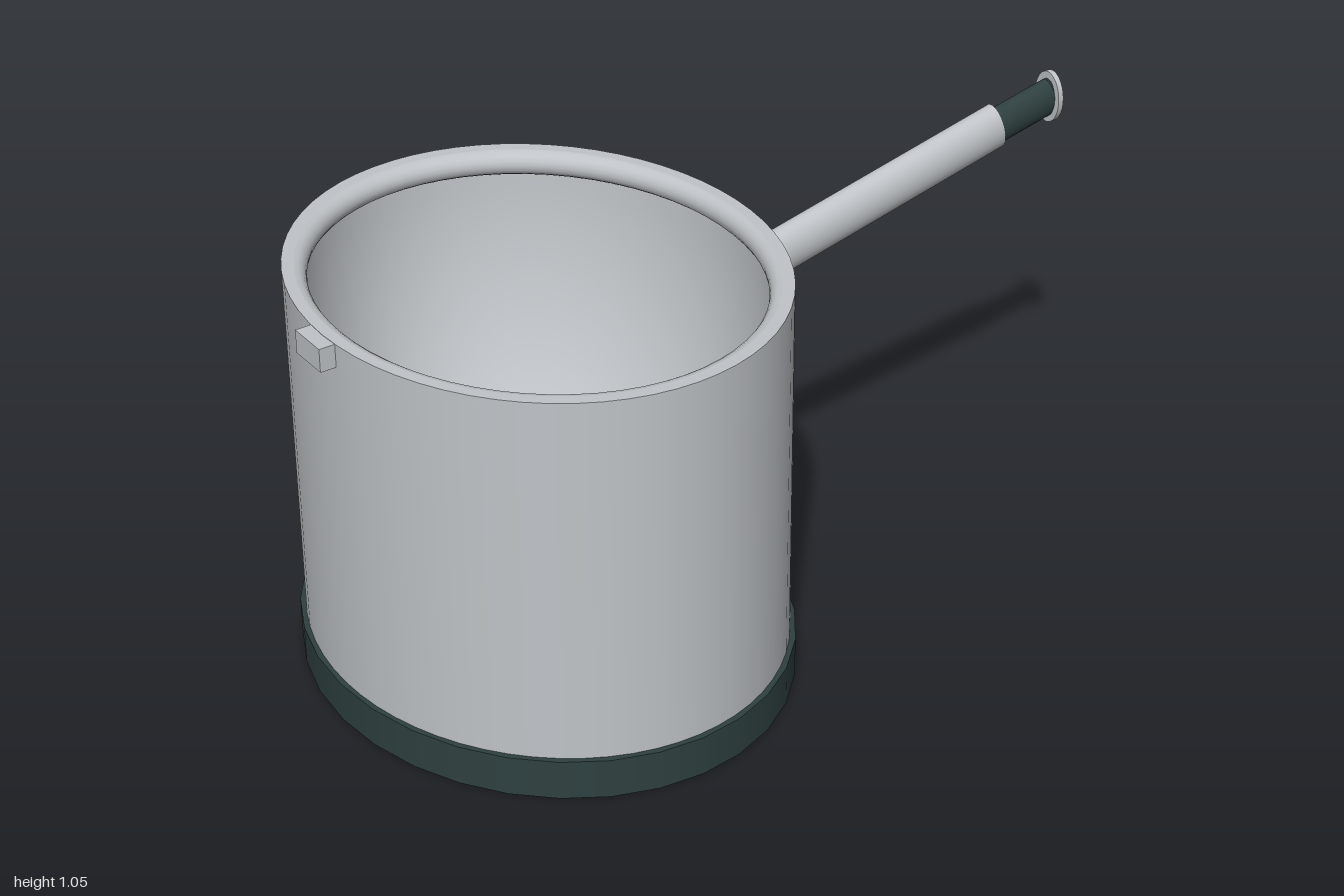
import * as THREE from 'three';

const CX = -0.44;            // pot axis
const SQUASH = 0.868;        // pot is narrower in x than in z

export function createModel() {
  const model = new THREE.Group();
  const steel = new THREE.MeshStandardMaterial({ color: 0xc0c4c8 });
  steel.name = 'brushed steel';
  const dark = new THREE.MeshStandardMaterial({ color: 0x2f4040 });
  dark.name = 'dark green plastic';

  const add = (name, geometry, material, parent = model) => {
    const mesh = new THREE.Mesh(geometry, material);
    mesh.name = name;
    parent.add(mesh);
    return mesh;
  };
  const lathe = (points, segments) =>
    new THREE.LatheGeometry(points.map(([r, y]) => new THREE.Vector2(r, y)), segments);

  // Oval pot: each profile piece is separate so its edges stay sharp
  const pot = new THREE.Group();
  pot.name = 'pot';
  pot.position.x = CX;
  pot.scale.x = SQUASH;
  model.add(pot);

  add('outerWall', lathe([[0.605, 0.09], [0.605, 0.98]], 64), steel, pot);
  add('rimTop', lathe([[0.605, 0.98], [0.575, 0.98]], 64), steel, pot);

  // Rounded inner lip
  const lip = [];
  for (let i = 0; i <= 8; i++) {
    const a = Math.PI / 2 + (i / 8) * Math.PI;
    lip.push([0.575 + 0.03 * Math.cos(a), 0.95 + 0.03 * Math.sin(a)]);
  }
  add('innerLip', lathe(lip, 64), steel, pot);

  // Deep bowl inside
  const bowl = [];
  for (let i = 0; i <= 20; i++) {
    const a = (i / 20) * Math.PI / 2;
    bowl.push([0.575 * Math.cos(a), 0.94 - 0.82 * Math.sin(a)]);
  }
  add('innerBowl', lathe(bowl, 64), steel, pot);

  // Base band and the heating plate under it
  add('base', new THREE.CylinderGeometry(0.62, 0.62, 0.096, 32), dark, pot).position.y = 0.052;
  add('bottomPlate', new THREE.CylinderGeometry(0.365, 0.365, 0.008, 32), steel, pot).position.y = 0.004;

  // Small lug at the rim opposite the handle
  add('rimLug', new THREE.BoxGeometry(0.056, 0.055, 0.1), steel).position.set(-0.972, 0.9515, 0);

  // Oval rod between two points in the x-y plane
  const rod = (name, material, [x0, y0], [x1, y1], ry, rz) => {
    const geometry = new THREE.CylinderGeometry(1, 1, Math.hypot(x1 - x0, y1 - y0), 32);
    geometry.rotateZ(-Math.PI / 2).scale(1, ry, rz);
    const mesh = add(name, geometry, material);
    mesh.position.set((x0 + x1) / 2, (y0 + y1) / 2, 0);
    mesh.rotation.z = Math.atan2(y1 - y0, x1 - x0);
  };
  rod('handle', steel, [0.075, 0.782], [0.83, 0.952], 0.058, 0.038);
  rod('handleGrip', dark, [0.8, 0.943], [0.99, 0.984], 0.047, 0.029);

  // Ring around the end of the grip
  const oval = new THREE.Shape().absellipse(0, 0, 0.043, 0.064, 0, Math.PI * 2);
  oval.holes.push(new THREE.Path().absellipse(0, 0, 0.028, 0.046, 0, Math.PI * 2));
  const ring = new THREE.ExtrudeGeometry(oval, { depth: 0.014, bevelEnabled: false, curveSegments: 32 });
  ring.rotateY(Math.PI / 2);
  add('endRing', ring, steel).position.set(0.986, 0.984, 0);

  return model;
}
